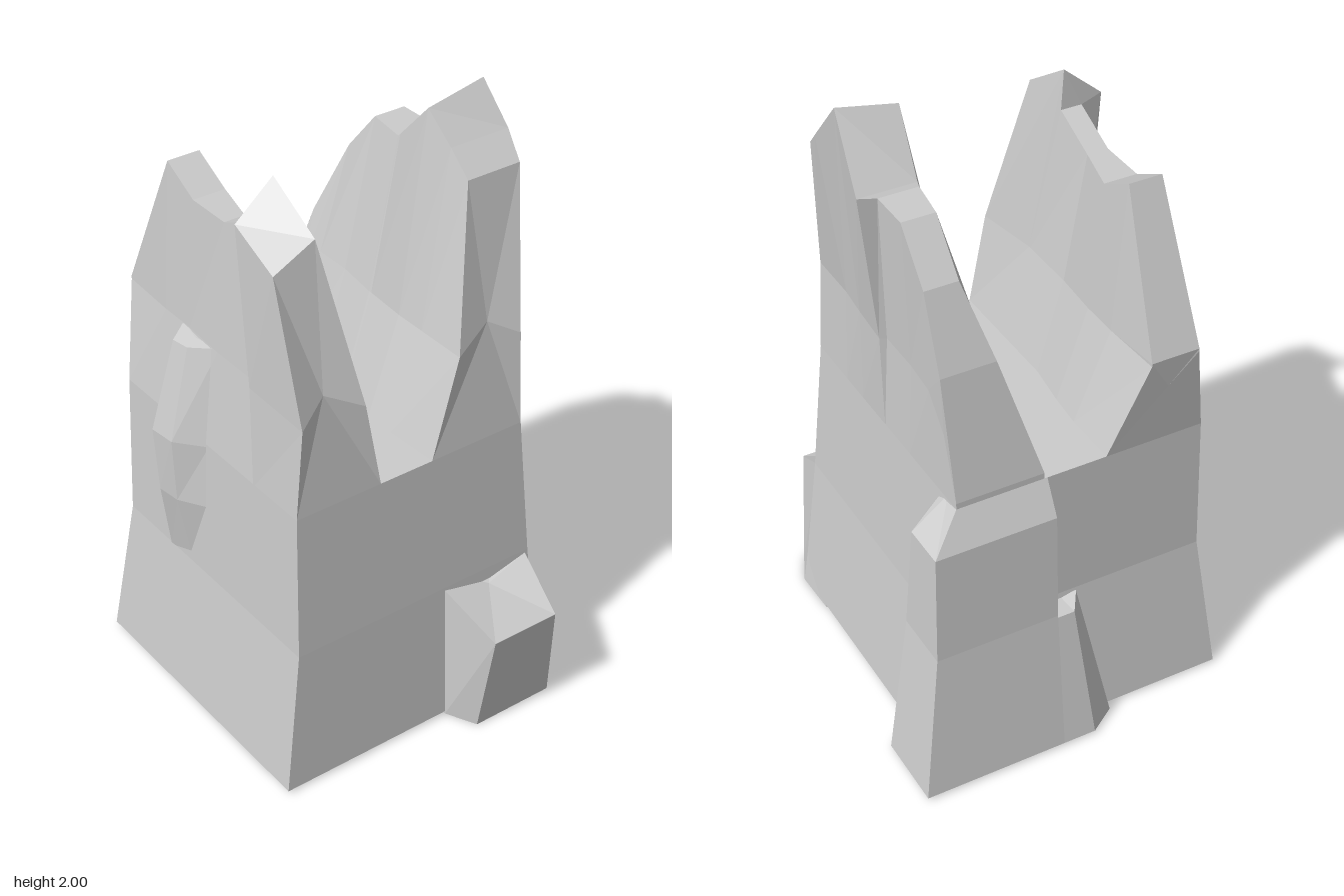
import * as THREE from 'three';

const rock = new THREE.MeshStandardMaterial({ color: 0xcccccc, flatShading: true });

// Skin a stack of closed rings of [x, y, z] and cap both ends.
function loft(name, rings) {
  const p = [];
  const tri = (a, b, c) => p.push([a, b, c]);
  const n = rings[0].length;
  for (let i = 0; i < rings.length - 1; i++) {
    for (let j = 0; j < n; j++) {
      const k = (j + 1) % n, A = rings[i], B = rings[i + 1];
      tri(A[j], A[k], B[k]);
      tri(A[j], B[k], B[j]);
    }
  }
  const cap = (ring, flip) => {
    const c = [0, 1, 2].map(a => ring.reduce((s, v) => s + v[a], 0) / n);
    ring.forEach((v, j) => {
      const w = ring[(j + 1) % n];
      flip ? tri(c, w, v) : tri(c, v, w);
    });
  };
  cap(rings[0], true);
  cap(rings[rings.length - 1], false);

  // Turn the faces outward, whichever way the rings run.
  const V = v => new THREE.Vector3(...v);
  const volume = p.reduce((s, [a, b, c]) => s + V(a).dot(V(b).cross(V(c))), 0);
  const pos = p.flatMap(([a, b, c]) => (volume < 0 ? [a, c, b] : [a, b, c])).flat();
  const geo = new THREE.BufferGeometry();
  geo.setAttribute('position', new THREE.Float32BufferAttribute(pos, 3));
  geo.computeVertexNormals();
  const mesh = new THREE.Mesh(geo, rock);
  mesh.name = name;
  return mesh;
}

// A wall is lofted along x. Each station lists foot, waist and crest as
// [x, y, zFront, zBack, yBack].
function wall(name, stations) {
  return loft(name, stations.map(rows => [
    ...rows.map(([x, y, zf]) => [x, y, zf]),
    ...[...rows].reverse().map(([x, y, , zb, yb = y]) => [x, yb, zb]),
  ]));
}

const slice = (y, x0, x1, z0, z1) => [[x0, y, z0], [x1, y, z0], [x1, y, z1], [x0, y, z1]];

export function createModel() {
  const g = new THREE.Group();
  g.name = 'splitRock';

  // Solid lower block, its top is the floor of the cleft
  g.add(loft('lowerBlock', [
    slice(0.01, -0.54, 0.46, -0.45, 0.54),
    slice(0.5, -0.485, 0.44, -0.4, 0.48),
    slice(0.98, -0.49, 0.41, -0.37, 0.46),
  ]));

  // Front wall, its right end stepping forward near the crest
  g.add(wall('frontWall', [
    [[-0.49, 0.98, 0.46, 0.13], [-0.54, 1.3, 0.4, 0.24], [-0.54, 1.31, 0.4, 0.24]],
    [[-0.3, 0.98, 0.46, 0.13], [-0.33, 1.3, 0.41, 0.23], [-0.33, 1.79, 0.38, 0.27]],
    [[-0.18, 0.98, 0.46, 0.14], [-0.2, 1.3, 0.41, 0.23], [-0.2, 1.72, 0.38, 0.27]],
    [[-0.03, 0.98, 0.46, 0.16], [-0.04, 1.3, 0.42, 0.24], [-0.04, 1.72, 0.38, 0.31]],
    [[0.19, 0.98, 0.46, 0.16], [0.16, 1.3, 0.42, 0.24], [0.115, 1.79, 0.38, 0.31]],
    [[0.2, 0.98, 0.46, 0.16], [0.17, 1.3, 0.45, 0.24], [0.12, 1.81, 0.45, 0.32, 1.92]],
    [[0.41, 0.98, 0.46, 0.16], [0.415, 1.28, 0.44, 0.22], [0.3, 1.73, 0.45, 0.31, 1.8]],
  ]));

  // Back wall with the tallest peak, thicker on the peak side
  g.add(wall('backWall', [
    [[-0.49, 0.98, -0.08, -0.37], [-0.49, 0.99, -0.08, -0.37], [-0.49, 1, -0.08, -0.37]],
    [[-0.42, 0.98, -0.08, -0.37], [-0.42, 1.2, -0.15, -0.37], [-0.42, 1.4, -0.2, -0.38]],
    [[-0.33, 0.98, -0.07, -0.37], [-0.33, 1.3, -0.16, -0.37], [-0.33, 1.64, -0.27, -0.38]],
    [[-0.2, 0.98, -0.06, -0.37], [-0.2, 1.3, -0.16, -0.36], [-0.2, 1.79, -0.27, -0.38]],
    [[-0.05, 0.98, -0.04, -0.37], [-0.05, 1.3, -0.14, -0.36], [-0.06, 1.79, -0.25, -0.38]],
    [[-0.04, 0.98, -0.04, -0.37], [-0.04, 1.3, -0.14, -0.38], [-0.05, 1.8, -0.25, -0.44]],
    [[0.11, 0.98, -0.02, -0.37], [0.11, 1.3, -0.13, -0.37], [0.115, 1.96, -0.22, -0.42, 2]],
    [[0.22, 0.98, -0.02, -0.37], [0.22, 1.3, -0.13, -0.36], [0.21, 1.87, -0.23, -0.44]],
    [[0.41, 0.98, -0.03, -0.37], [0.4, 1.3, -0.13, -0.36], [0.29, 1.8, -0.23, -0.42]],
  ]));

  // Tall buttress wrapped round the back corner
  g.add(loft('cornerButtress', [
    [[-0.63, 0.01, -0.55], [-0.38, 0.01, -0.55], [-0.26, 0.01, -0.4], [-0.4, 0.01, -0.07], [-0.63, 0.01, -0.07]],
    [[-0.57, 0.5, -0.48], [-0.37, 0.5, -0.48], [-0.29, 0.5, -0.38], [-0.4, 0.5, -0.07], [-0.57, 0.5, -0.07]],
    [[-0.55, 0.87, -0.47], [-0.4, 0.87, -0.47], [-0.32, 0.87, -0.37], [-0.4, 0.87, -0.07], [-0.55, 0.87, -0.07]],
    [[-0.49, 0.98, -0.37], [-0.42, 0.98, -0.36], [-0.38, 0.98, -0.34], [-0.42, 0.98, -0.08], [-0.49, 0.98, -0.07]],
  ]));

  // Low ledge continuing the buttress along the side
  g.add(loft('sideLedge', [
    [[-0.63, 0.01, -0.08], [-0.4, 0.01, -0.08], [-0.4, 0.01, 0.16], [-0.57, 0.01, 0.13], [-0.63, 0.01, 0.04]],
    [[-0.55, 0.47, -0.08], [-0.4, 0.49, -0.08], [-0.4, 0.49, 0.06], [-0.49, 0.49, 0.04], [-0.55, 0.47, 0]],
  ]));

  // Block jutting from the other side
  g.add(loft('sideBlock', [
    [[0.3, 0, -0.07], [0.46, 0, -0.07], [0.56, 0, -0.12], [0.56, 0, -0.41], [0.46, 0, -0.455], [0.3, 0, -0.45]],
    [[0.3, 0.49, -0.07], [0.44, 0.49, -0.07], [0.63, 0.38, -0.12], [0.63, 0.38, -0.36], [0.44, 0.49, -0.39], [0.3, 0.49, -0.38]],
  ]));

  // Slim rib standing out of the front face
  const rib = (y, l, m, r, e, zIn, zOut, dy = 0) => [
    [l, y, zIn], [m, y - dy, zOut], [r, y - dy, zOut - 0.01], [e, y, zIn], [(l + e) / 2, y, 0.36],
  ];
  g.add(loft('frontRib', [
    rib(0.5, -0.26, -0.25, -0.14, -0.05, 0.475, 0.482),
    rib(0.75, -0.265, -0.22, -0.14, -0.05, 0.465, 0.53),
    rib(0.97, -0.27, -0.23, -0.14, -0.05, 0.455, 0.54),
    rib(1.3, -0.24, -0.2, -0.14, -0.05, 0.405, 0.47, 0.02),
  ]));

  return g;
}
